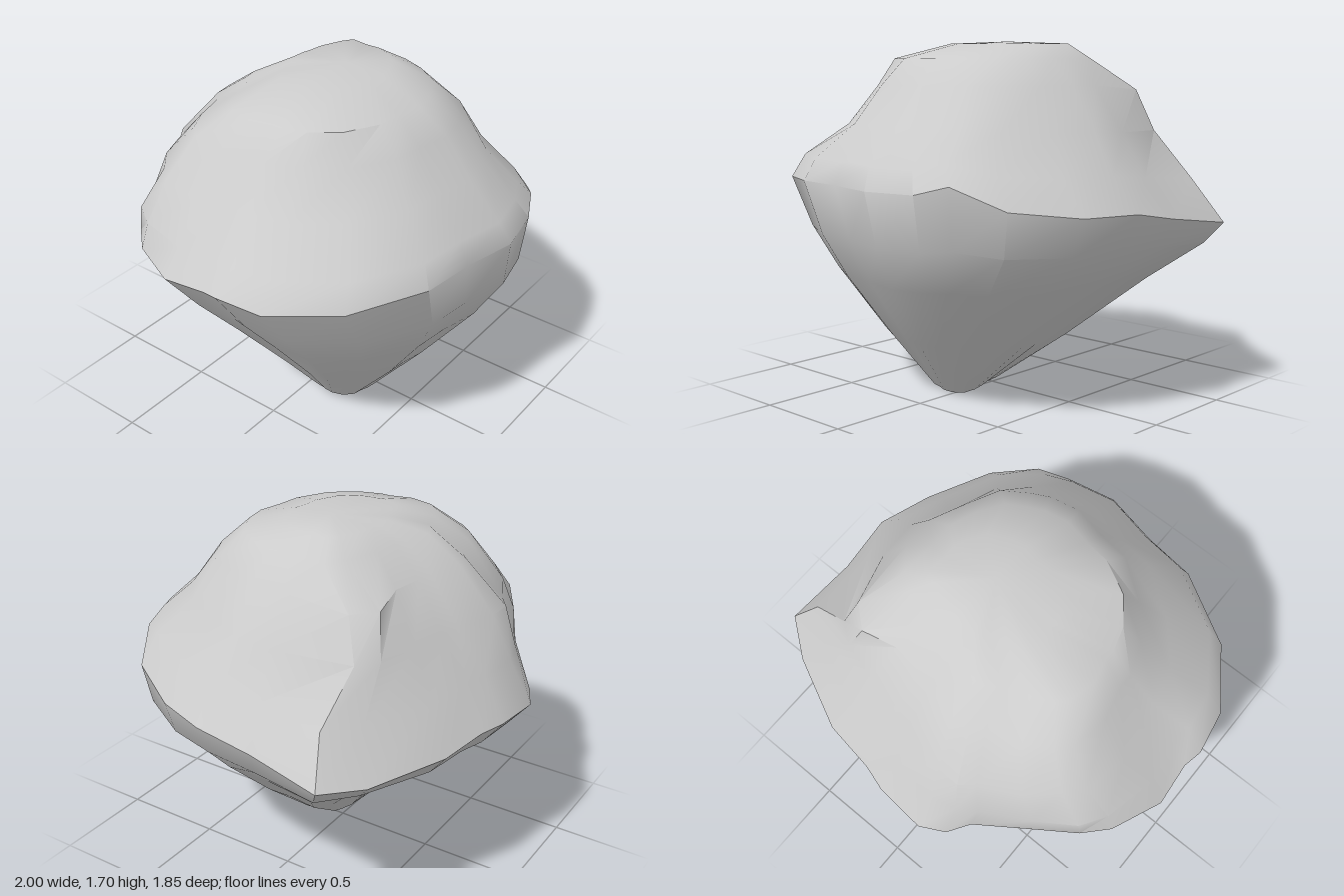
import * as THREE from 'three';
import { toCreasedNormals } from 'three/addons/utils/BufferGeometryUtils.js';

// Irregular girdle of the rock: x, y, z, counterclockwise from above
const RIM = [
  [1, .86, -.52], [.82, .84, -.66], [.46, .86, -.83], [.2, .87, -.87], [.07, .87, -.91],
  [-.18, .86, -.93], [-.3, .87, -.87], [-.37, .89, -.77], [-.6, .97, -.63], [-.8, 1.04, -.51],
  [-.9, 1.03, -.4], [-1, 1.02, -.16], [-.98, 1.03, .05], [-1, 1.05, .14], [-.96, 1.03, .36],
  [-.76, 1.04, .64], [-.42, 1.06, .83], [-.16, 1.06, .86], [.11, 1.06, .92], [.36, 1.06, .87],
  [.5, 1.1, .8], [.71, 1.0, .67], [.88, .96, .38], [.97, .96, .12], [.96, .91, -.16],
];

// Cross-sections: height, xMin, xMax, zMin, zMax, share of the girdle's height variation
const RINGS = [
  [.03, -.24, .05, -.05, .27, 0],
  [.3, -.44, .4, -.27, .53, 0],
  [.6, -.68, .72, -.6, .77, .1],
  [.79, -.84, .93, -.84, .89, .25],
  null, // the girdle itself
  [1.12, -.9, .87, -.81, .87, .5],
  [1.3, -.71, .74, -.67, .7, .2],
  [1.5, -.56, .6, -.52, .57, 0],
  [1.62, -.46, .46, -.36, .44, 0],
  [1.69, -.22, .35, -.25, .2, 0],
];

// Hollows and bulges: centre, reach, push
const DENTS = [
  [[-.56, 1.45, .42], .22, [.04, -.02, -.04]],    // front chip
  [[.73, 1.28, -.38], .28, [-.11, 0, -.1]],       // ridge above the spur
  [[.54, 1.5, -.36], .25, [-.03, -.03, -.13]],    // right shoulder
  [[.64, 1.33, .33], .3, [-.03, 0, -.03]],        // flat right face
  [[-.52, 1.4, -.38], .6, [-.09, 0, -.11]],       // back left shoulder
  [[-.28, 1.25, -.58], .3, [-.03, 0, -.05]],      // back face
  [[-.5, .8, -.55], .3, [-.04, 0, -.04]],         // rounded back edge
  [[.95, .8, .1], .25, [-.02, 0, 0]],             // band under the girdle
  [[.02, .02, .25], .15, [.03, 0, .01]],          // tip of the foot
];

function ringPoint(ring, [x, y, z]) {
  if (!ring) return new THREE.Vector3(x, y, z);
  const [h, x0, x1, z0, z1, w] = ring;
  const base = new THREE.Vector3(
    (x0 + x1) / 2 + x * (x1 - x0) / 2,
    h + (y - .97) * w,
    (z0 + z1) / 2 + z / .925 * (z1 - z0) / 2);
  const p = base.clone();
  for (const [c, reach, push] of DENTS) {
    const k = 1 - base.distanceTo(new THREE.Vector3(...c)) / reach;
    if (k > 0) p.addScaledVector(new THREE.Vector3(...push), Math.min(1, 1.5 * k));
  }
  return p;
}

function rockGeometry() {
  const n = RIM.length, pos = [], index = [];
  RINGS.forEach((ring, r) => RIM.forEach((rim) => {
    const p = ringPoint(ring, rim);
    if (r === 0) p.y = Math.max(0, .045 - .16 * p.z - .06 * p.x); // slanted foot
    pos.push(p.x, p.y, p.z);
  }));
  const bottom = pos.length / 3, top = bottom + 1, last = (RINGS.length - 1) * n;
  pos.push(-.08, .04, .1, .1, 1.7, 0);
  for (let i = 0; i < n; i++) {
    const j = (i + 1) % n;
    for (let r = 0; r < RINGS.length - 1; r++) {
      const a = r * n + i, b = r * n + j;
      index.push(a, b, b + n, a, b + n, a + n);
    }
    index.push(j, i, bottom, last + i, last + j, top);
  }
  const g = new THREE.BufferGeometry();
  g.setAttribute('position', new THREE.Float32BufferAttribute(pos, 3));
  g.setIndex(index);
  return toCreasedNormals(g, THREE.MathUtils.degToRad(38));
}

export function createModel() {
  const group = new THREE.Group();
  group.name = 'boulder';
  const rock = new THREE.Mesh(rockGeometry(), new THREE.MeshStandardMaterial({ color: 0xcccccc }));
  rock.name = 'rock';
  group.add(rock);
  return group;
}
